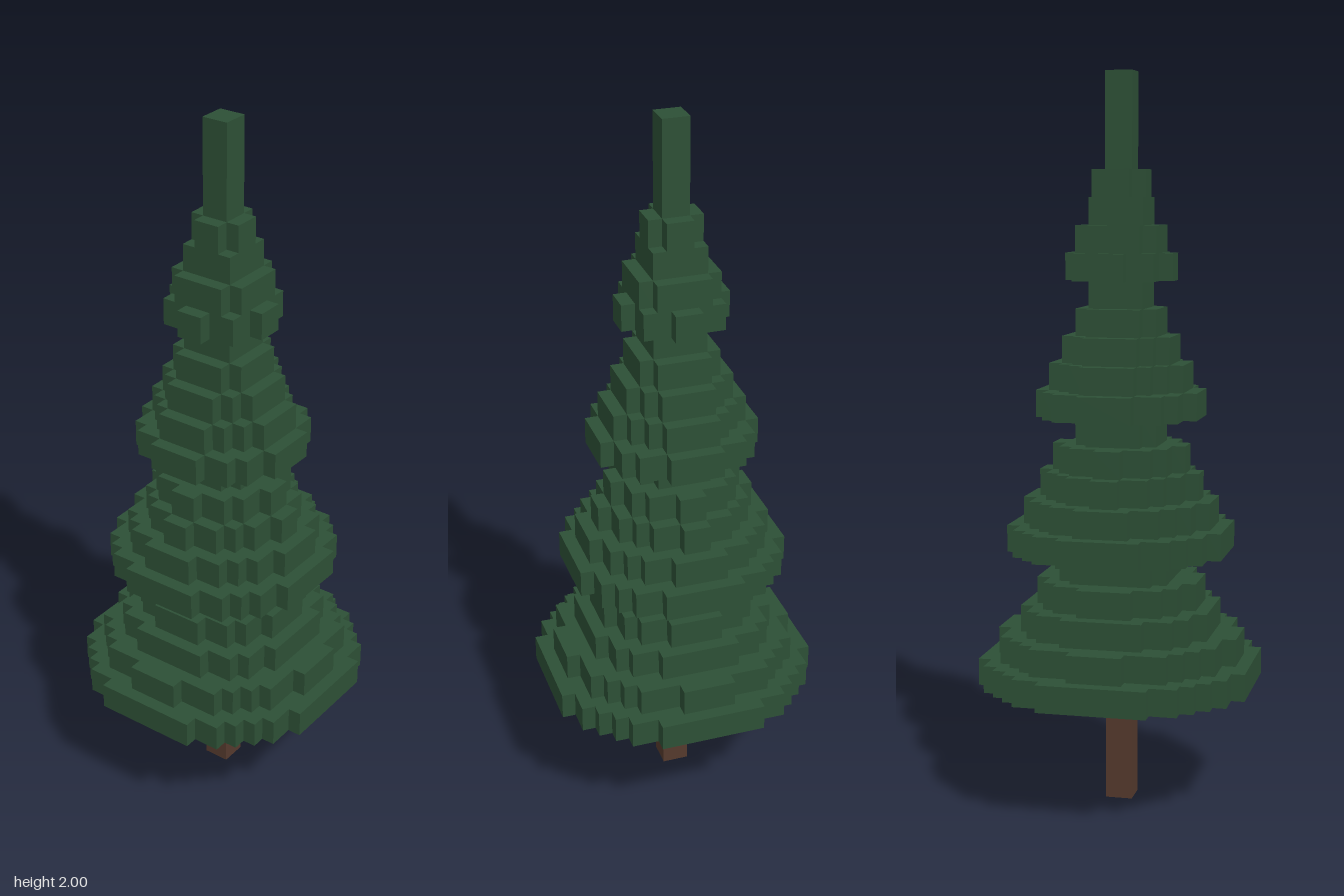
import * as THREE from 'three';

const U = 2 / 54; // edge of one voxel

// Half-widths of a voxelised disc, one per row outward from the centre
function discRows(radius) {
  const rows = [];
  for (let j = 0; ; j++) {
    let width = 0;
    while ((width + 0.5) ** 2 + (j + 0.5) ** 2 <= radius * radius) width++;
    if (!width) return rows;
    rows.push(width);
  }
}

// Stepped outline of the disc, counter-clockwise
function discShape(radius) {
  const rows = discRows(radius);
  const quarter = [];
  rows.forEach((width, j) => {
    if (j > 0 && width !== rows[j - 1]) quarter.push([rows[j - 1], j], [width, j]);
  });
  quarter.push([rows[rows.length - 1], rows.length]);
  const flipped = [...quarter].reverse();
  const outline = [
    ...quarter,
    ...flipped.map(([x, y]) => [-x, y]),
    ...quarter.map(([x, y]) => [-x, -y]),
    ...flipped.map(([x, y]) => [x, -y]),
  ];
  return new THREE.Shape(outline.map(([x, y]) => new THREE.Vector2(x * U, y * U)));
}

export function createModel() {
  const model = new THREE.Group();
  const needleGreen = new THREE.MeshStandardMaterial({ color: 0x2d5036 });
  needleGreen.name = 'needleGreen';
  const barkBrown = new THREE.MeshStandardMaterial({ color: 0x553a2d });
  barkBrown.name = 'barkBrown';

  // Square post two voxels wide, between two heights in voxels
  function post(name, from, to, material) {
    const mesh = new THREE.Mesh(new THREE.BoxGeometry(2 * U, (to - from) * U, 2 * U), material);
    mesh.position.y = ((from + to) / 2) * U;
    mesh.name = name;
    model.add(mesh);
  }

  post('trunk', 0, 9, barkBrown);

  // Four tiers of branches, each a stack of shrinking slabs two voxels high
  const tiers = [
    { radius: 10.2, step: 1.42, layers: 5 },
    { radius: 8.0, step: 1.15, layers: 5 },
    { radius: 5.8, step: 0.87, layers: 5 },
    { radius: 3.6, step: 0.63, layers: 4 },
  ];
  let level = 9;
  tiers.forEach(({ radius, step, layers }, t) => {
    const tier = new THREE.Group();
    tier.name = `branchTier${t + 1}`;
    for (let i = 0; i < layers; i++, level += 2) {
      const geometry = new THREE.ExtrudeGeometry(discShape(radius - i * step), {
        depth: 2 * U,
        bevelEnabled: false,
      });
      geometry.rotateX(-Math.PI / 2);
      const slab = new THREE.Mesh(geometry, needleGreen);
      slab.position.y = level * U;
      slab.name = `branchSlab${i + 1}`;
      tier.add(slab);
    }
    model.add(tier);
  });

  post('treeTip', level, 54, needleGreen);
  return model;
}
